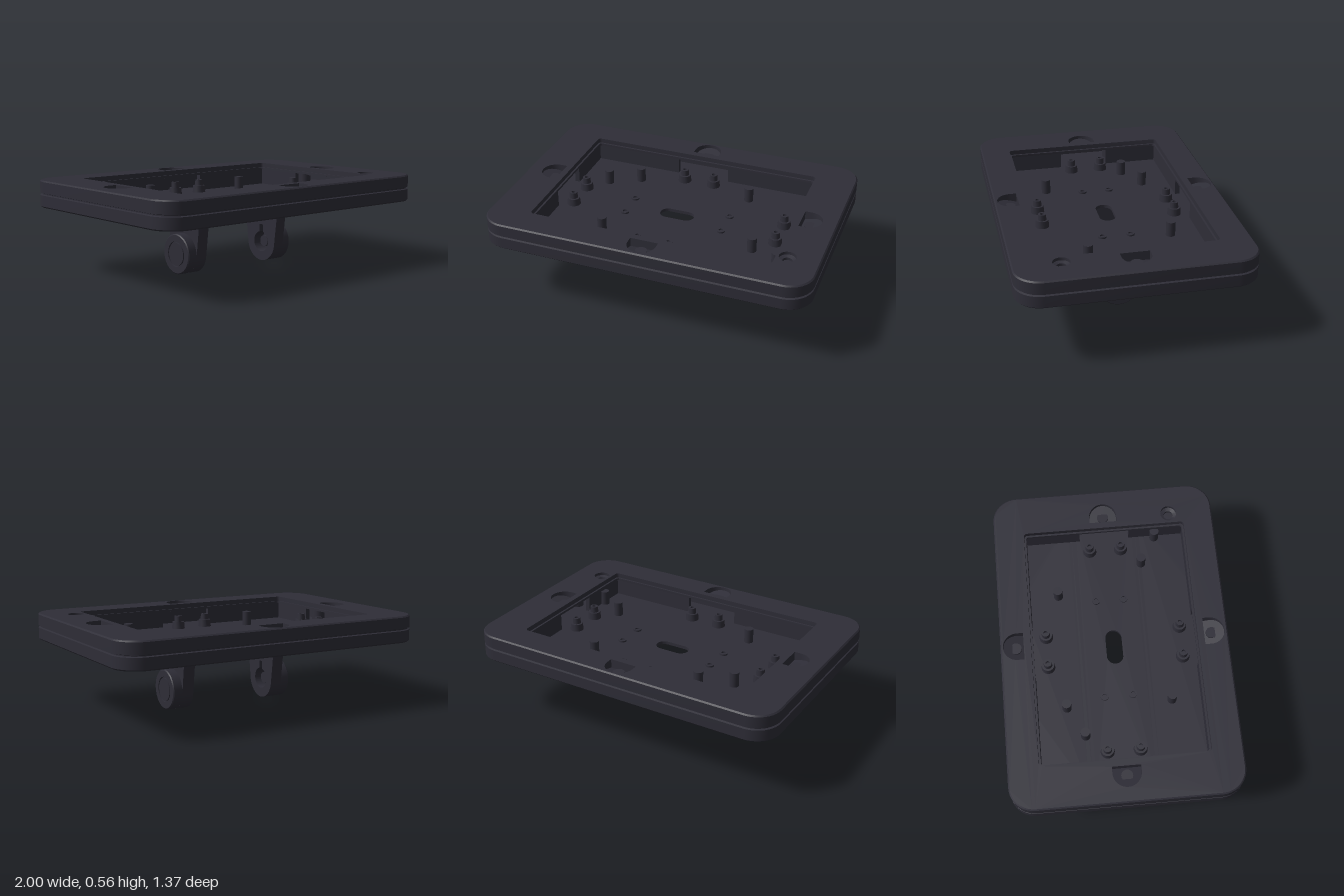
import * as THREE from 'three';
import { toCreasedNormals } from 'three/addons/utils/BufferGeometryUtils.js';

const charcoal = new THREE.MeshStandardMaterial({ color: 0x2e2d37, side: THREE.DoubleSide });
charcoal.name = 'charcoal plastic';

const HX = 1, HZ = 0.686, R = 0.15;
const FLOOR = 0.42, TOP = 0.565;

function add(parent, name, geo, x = 0, y = 0, z = 0) {
  const mesh = new THREE.Mesh(geo, charcoal);
  mesh.name = name;
  mesh.position.set(x, y, z);
  parent.add(mesh);
  return mesh;
}

// Corner points of a rounded rectangle
function roundedPoints(hx, hy, r, seg = 10) {
  const pts = [];
  [[1, 1], [-1, 1], [-1, -1], [1, -1]].forEach(([sx, sy], q) => {
    for (let i = 0; i <= seg; i++) {
      const a = (q + i / seg) * Math.PI / 2;
      pts.push(new THREE.Vector2(sx * (hx - r) + r * Math.cos(a), sy * (hy - r) + r * Math.sin(a)));
    }
  });
  return pts;
}

function circlePoints(x, z, r, n = 24) {
  return Array.from({ length: n }, (_, i) => {
    const a = i / n * Math.PI * 2;
    return new THREE.Vector2(x + r * Math.cos(a), -z + r * Math.sin(a));
  });
}

// Horizontal plate between two heights, with holes
function plate(outline, holes, y0, y1) {
  const shape = new THREE.Shape(outline);
  holes.forEach(h => shape.holes.push(new THREE.Path(h)));
  const geo = new THREE.ExtrudeGeometry(shape, { depth: y1 - y0, bevelEnabled: false });
  geo.rotateX(-Math.PI / 2).translate(0, y0, 0);
  return toCreasedNormals(geo, 0.6);
}

// Wall through rounded-rectangle sections given as [inset, height]
function wall(profile) {
  const rings = profile.map(([d, y]) => roundedPoints(HX - d, HZ - d, R - d).map(p => [p.x, y, -p.y]));
  const pos = [];
  for (let k = 0; k < rings.length - 1; k++) {
    const a = rings[k], b = rings[k + 1], n = a.length;
    for (let i = 0; i < n; i++) {
      const j = (i + 1) % n;
      pos.push(...a[i], ...a[j], ...b[j], ...a[i], ...b[j], ...b[i]);
    }
  }
  return fromPositions(pos);
}

function fromPositions(pos) {
  const geo = new THREE.BufferGeometry();
  geo.setAttribute('position', new THREE.Float32BufferAttribute(pos, 3));
  geo.computeVertexNormals();
  return toCreasedNormals(geo, 0.5);
}

function lathe(profile, seg = 24) {
  return toCreasedNormals(new THREE.LatheGeometry(profile.map(p => new THREE.Vector2(...p)), seg), 0.5);
}

// D-shaped recess outline: flat side inward, round side outward
function recessOutline(start) {
  const pts = [[-0.085, start]];
  for (let i = 0; i <= 16; i++) {
    const a = Math.PI * (1 - i / 16);
    pts.push([0.085 * Math.cos(a), start + 0.04 + 0.085 * Math.sin(a)]);
  }
  pts.push([0.085, start]);
  return pts;
}

// Sloped pocket below a D-shaped opening
function recessPocket(start) {
  const pts = recessOutline(start), pos = [], n = pts.length;
  const low = ([x, z]) => [x, TOP - 0.055 + 0.035 * (z - start) / 0.125, z];
  const mid = low([0, start + 0.05]);
  pts.forEach((p, i) => {
    const q = pts[(i + 1) % n];
    const a = low(p), b = low(q), A = [p[0], TOP, p[1]], B = [q[0], TOP, q[1]];
    pos.push(...mid, ...a, ...b);
    pos.push(...a, ...A, ...B, ...a, ...B, ...b);
  });
  return fromPositions(pos);
}

function createLeg() {
  const leg = new THREE.Group();
  const r = 0.123, t = 0.12;
  const shape = new THREE.Shape();
  shape.moveTo(-0.138, 0.402);
  shape.lineTo(0.138, 0.402);
  shape.quadraticCurveTo(0.158, 0.4, 0.157, 0.38);
  shape.absarc(0, r, r, -t, Math.PI + t, true);
  shape.lineTo(-0.157, 0.38);
  shape.quadraticCurveTo(-0.158, 0.4, -0.138, 0.402);
  // Keyhole recess on the inner face
  const key = new THREE.Path();
  key.absarc(0, r, 0.065, Math.PI / 2 - 0.25, Math.PI / 2 + 0.25 - Math.PI * 2, true);
  key.lineTo(-0.016, 0.235);
  key.lineTo(0.016, 0.235);
  shape.holes.push(key);
  const body = new THREE.ExtrudeGeometry(shape, { depth: 0.075, bevelEnabled: false, curveSegments: 32 });
  body.rotateY(Math.PI / 2);
  add(leg, 'leg plate', toCreasedNormals(body, 0.5), 0.28);
  // Round hub with a ring groove on its outer face
  const hub = lathe([[0, 0], [r, 0], [r, 0.054], [r - 0.006, 0.06], [0.078, 0.06], [0.078, 0.05],
    [0.07, 0.05], [0.07, 0.06], [0, 0.06]], 48).rotateZ(-Math.PI / 2);
  add(leg, 'leg hub', hub, 0.355, r, 0);
  const pin = new THREE.CylinderGeometry(0.035, 0.035, 0.05, 24).rotateZ(Math.PI / 2);
  add(leg, 'hub pin', pin, 0.33, r, 0);
  return leg;
}

export function createModel() {
  const model = new THREE.Group();
  model.name = 'tablet enclosure';

  // Shell walls with the seam between the two halves
  add(model, 'outer wall', wall([[0.008, 0.4], [0, 0.408], [0, 0.475], [0.012, 0.479], [0.012, 0.485],
    [0, 0.489], [0, TOP - 0.008], [0.008, TOP]]));
  add(model, 'inner wall', wall([[0.05, 0.535], [0.05, FLOOR]]));

  const outline = roundedPoints(HX - 0.008, HZ - 0.008, R - 0.008);
  const bottomScrews = [];
  for (const sx of [-1, 1]) for (const sz of [-1, 1]) {
    bottomScrews.push([sx * 0.33, sz * 0.575], [sx * 0.87, sz * 0.2]);
  }

  // Floor with cable slot and screw holes
  const slot = roundedPoints(0.109, 0.05, 0.049);
  add(model, 'floor', plate(outline, [slot, ...bottomScrews.map(([x, z]) => circlePoints(x, z, 0.026))], 0.4, FLOOR));
  bottomScrews.forEach(([x, z]) =>
    add(model, 'screw post', new THREE.CylinderGeometry(0.042, 0.042, 0.12, 20), x, 0.475, z));

  // Bezel with window, four angled recesses and a lock hole
  const recesses = [[0, 0.542], [Math.PI, 0.545], [Math.PI / 2, 0.785], [-Math.PI / 2, 0.785]];
  const openings = recesses.map(([a, start]) => recessOutline(start).map(([x, z]) =>
    new THREE.Vector2(x * Math.cos(a) + z * Math.sin(a), x * Math.sin(a) - z * Math.cos(a))));
  const lock = [0.81, 0.413];
  add(model, 'bezel', plate(outline,
    [roundedPoints(0.746, 0.502, 0.02, 4), ...openings, circlePoints(...lock, 0.05)], 0.535, TOP));
  add(model, 'window lip', plate(roundedPoints(0.77, 0.525, 0.03, 4),
    [roundedPoints(0.734, 0.49, 0.015, 4)], 0.522, 0.536));
  recesses.forEach(([a, start]) => {
    add(model, 'screw recess', recessPocket(start)).rotation.y = a;
    const s = start + 0.05;
    const screw = new THREE.CylinderGeometry(0.035, 0.035, 0.012, 20);
    add(model, 'recess screw', screw, s * Math.sin(a), TOP - 0.041, s * Math.cos(a));
  });
  add(model, 'lock recess', lathe([[0, -0.04], [0.028, -0.04], [0.028, -0.025], [0.05, -0.018], [0.05, 0]]),
    lock[0], TOP, lock[1]);

  // Corner ribs that hold the device
  for (const sx of [-1, 1]) for (const sz of [-1, 1]) {
    add(model, 'long rib', new THREE.BoxGeometry(0.58, 0.105, 0.03), sx * 0.46, 0.47, sz * 0.507);
    add(model, 'short rib', new THREE.BoxGeometry(0.03, 0.105, 0.35), sx * 0.751, 0.47, sz * 0.33);
  }

  // Stepped pegs, plain pillars and small mounting rings on the floor
  const pegs = [];
  for (const s of [-1, 1]) for (const t of [-0.098, 0.098]) pegs.push([t, s * 0.412], [s * 0.657, t]);
  const peg = lathe([[0.042, 0], [0.038, 0.045], [0.026, 0.045], [0.024, 0.082], [0.012, 0.082], [0.012, 0.06], [0, 0.06]]);
  pegs.forEach(([x, z]) => add(model, 'stepped peg', peg, x, FLOOR, z));
  const pillar = new THREE.CylinderGeometry(0.028, 0.028, 0.09, 20);
  [[-0.367, -0.318], [0.365, -0.318], [-0.367, 0.316], [0.547, 0.217], [-0.55, -0.22], [0.722, 0.317]]
    .forEach(([x, z]) => add(model, 'pillar', pillar, x, FLOOR + 0.045, z));
  const ring = lathe([[0.025, 0], [0.025, 0.01], [0.014, 0.01], [0.014, 0.001], [0, 0.001]]);
  for (const sx of [-1, 1]) for (const sz of [-1, 1]) {
    add(model, 'mounting ring', ring, sx * 0.314, FLOOR, sz * 0.086);
  }

  // Mirrored pair of hinge legs
  for (const [name, angle] of [['left leg', 0], ['right leg', Math.PI]]) {
    const leg = createLeg();
    leg.name = name;
    leg.rotation.y = angle;
    model.add(leg);
  }
  return model;
}
